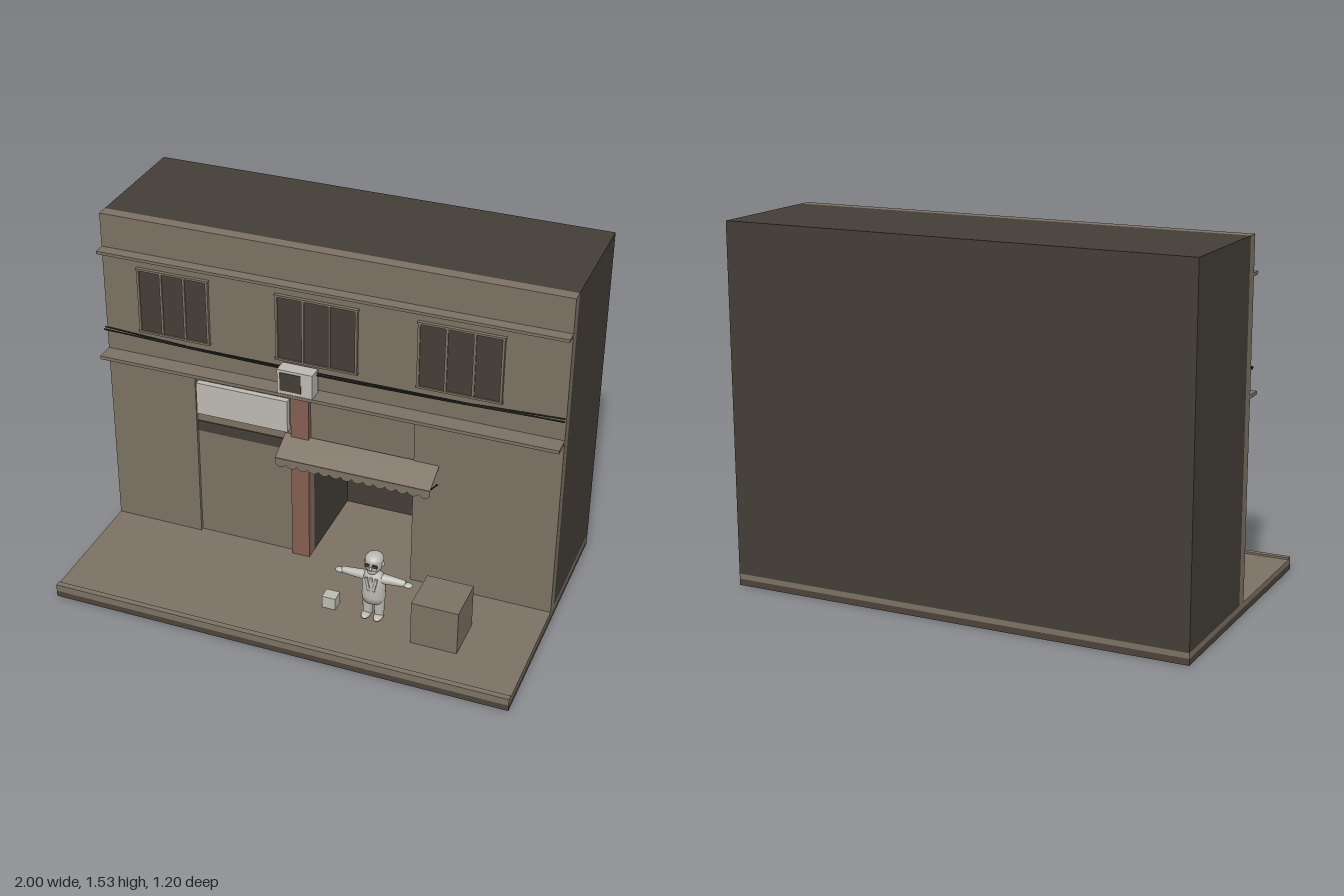
import * as THREE from 'three';

const mat = (name, color, side = THREE.FrontSide) => {
  const m = new THREE.MeshStandardMaterial({ color, side });
  m.name = name;
  return m;
};

export function createModel() {
  const root = new THREE.Group();
  root.name = 'shopfront';
  const plaster = mat('plaster', 0x7b7163, THREE.DoubleSide);
  const dark = mat('darkWall', 0x433d36);
  const base = mat('baseBrown', 0x4c423a);
  const brick = mat('brickRed', 0x835e50);
  const pale = mat('paleGrey', 0xbab8b0);
  const black = mat('cableBlack', 0x24221f);

  const add = (name, geo, material, parent = root) => {
    const m = new THREE.Mesh(geo, material);
    m.name = name;
    parent.add(m);
    return m;
  };
  // Box given by its minimum and maximum on each axis
  const box = (name, material, x0, x1, y0, y1, z0, z1, parent = root) => {
    const m = add(name, new THREE.BoxGeometry(x1 - x0, y1 - y0, z1 - z0), material, parent);
    m.position.set((x0 + x1) / 2, (y0 + y1) / 2, (z0 + z1) / 2);
    return m;
  };
  // Full-width wall with an opening that reaches the ground
  const wall = (name, material, l, r, top, z0, z1) => {
    const s = new THREE.Shape([
      [-1, 0.05], [l, 0.05], [l, top], [r, top], [r, 0.05], [1, 0.05], [1, 1.53], [-1, 1.53],
    ].map(p => new THREE.Vector2(...p)));
    const g = new THREE.ExtrudeGeometry(s, { depth: z1 - z0, bevelEnabled: false });
    add(name, g.translate(0, 0, z0), material);
  };
  const tube = (name, pts, r, material, parent = root) => add(name, new THREE.TubeGeometry(
    new THREE.CatmullRomCurve3(pts.map(p => new THREE.Vector3(...p))), 24, r, 6), material, parent);

  // Pavement and kerb
  box('foundation', base, -1, 1, 0, 0.027, -0.6, 0.6);
  box('pavement', plaster, -1, 1, 0.027, 0.05, -0.6, 0.6);
  box('kerb', plaster, -1, 1, 0.05, 0.058, 0.575, 0.6);

  // Building volume with a hollow doorway, then the facade in two layers
  box('rearBlock', dark, -1, 1, 0.05, 1.53, -0.6, -0.45);
  wall('buildingBody', dark, -0.08, 0.38, 0.52, -0.45, -0.05);
  wall('facadeBack', plaster, -0.08, 0.38, 0.52, -0.05, -0.015);
  wall('facadeFront', plaster, -0.6, 0.38, 0.89, -0.015, 0);
  box('lowerLedge', plaster, -1, 1, 0.885, 0.9, -0.04, 0.08);
  box('upperLedge', plaster, -1, 1, 1.367, 1.38, 0, 0.05);

  // Pillar, sign and transom of the left bay
  box('pillar', brick, -0.16, -0.08, 0.05, 0.885, -0.015, 0.01);
  box('signBoard', pale, -0.59, -0.175, 0.67, 0.82, -0.015, 0.012);
  box('transom', dark, -0.6, -0.16, 0.57, 0.62, -0.015, -0.01);

  // Upper windows: three panes in a frame
  [-0.68, -0.045, 0.5625].forEach((cx, i) => {
    const g = new THREE.Group();
    g.name = 'window';
    root.add(g);
    const w = i === 0 ? 0.31 : 0.345, p = w / 3;
    box('glass', dark, cx - w / 2, cx + w / 2, 1.02, 1.305, 0, 0.009, g);
    for (let k = 0; k <= 3; k++) {
      const x = cx - w / 2 + k * p;
      box('mullion', plaster, x - 0.005, x + 0.005, 1.02, 1.305, 0, 0.014, g);
    }
    for (const y of [1.015, 1.305])
      box('rail', plaster, cx - w / 2 - 0.008, cx + w / 2 + 0.008, y, y + 0.009, 0, 0.016, g);
  });

  // Air conditioner
  box('airConditioner', pale, -0.19, -0.035, 0.9, 1.01, 0.015, 0.078);
  box('airConditionerGrille', dark, -0.178, -0.085, 0.915, 0.998, 0.077, 0.081);

  // Sagging cables
  [[1.01, 0.982, 0.018], [1.0, 0.996, 0.025], [1.005, 0.988, 0.03]].forEach(([y, mid, z]) =>
    tube('cable', [[-1, y, z], [-0.5, (y + 3 * mid) / 4, z], [0, mid, z],
      [0.5, (y + 3 * mid) / 4, z], [1, y, z]], 0.003, black));

  // Awning: sloping sheet, scalloped valance and struts
  const awning = new THREE.Group();
  awning.name = 'awning';
  root.add(awning);
  const slope = add('awningSheet', new THREE.BoxGeometry(0.68, 0.004, Math.hypot(0.115, 0.055)), plaster, awning);
  slope.position.set(0.15, 0.629, 0.053);
  slope.rotation.x = Math.atan2(0.055, 0.115);
  const val = new THREE.Shape();
  const n = 14, step = 0.68 / n;
  val.moveTo(0.49, 0.6);
  val.lineTo(-0.19, 0.6);
  val.lineTo(-0.19, 0.575);
  for (let i = 0; i < n; i++)
    val.quadraticCurveTo(-0.19 + (i + 0.5) * step, 0.545, -0.19 + (i + 1) * step, 0.575);
  add('awningValance', new THREE.ExtrudeGeometry(val, { depth: 0.003, bevelEnabled: false, curveSegments: 8 })
    .translate(0, 0, 0.108), plaster, awning);
  for (const x of [-0.185, 0.485])
    tube('awningStrut', [[x, 0.563, 0], [x, 0.602, 0.108]], 0.003, black, awning);

  // Boxes on the pavement
  box('crate', plaster, 0.52, 0.72, 0.05, 0.25, 0.2, 0.4);
  box('smallBox', pale, 0.1, 0.16, 0.05, 0.105, 0.26, 0.315);

  // Standing figure with outstretched arms
  const fig = new THREE.Group();
  fig.name = 'figure';
  fig.position.set(0.32, 0.05, 0.288);
  root.add(fig);
  const ball = (name, x, y, z, sx, sy, sz, m = pale) => {
    const b = add(name, new THREE.SphereGeometry(1, 20, 14), m, fig);
    b.position.set(x, y, z);
    b.scale.set(sx, sy, sz);
    return b;
  };
  const torso = add('torso', new THREE.LatheGeometry([
    [0, 0.08], [0.046, 0.08], [0.052, 0.11], [0.05, 0.15], [0.052, 0.195], [0.04, 0.222], [0.02, 0.235], [0.017, 0.25],
  ].map(p => new THREE.Vector2(...p)), 24), pale, fig);
  torso.scale.z = 0.68;
  for (const s of [-1, 1]) {
    const leg = add('leg', new THREE.CylinderGeometry(0.024, 0.02, 0.09, 14), pale, fig);
    leg.position.set(s * 0.025, 0.055, 0);
    ball('shoe', s * 0.027, 0.012, 0.012, 0.02, 0.013, 0.036);
    const arm = add('arm', new THREE.CylinderGeometry(0.022, 0.014, 0.1, 14), pale, fig);
    arm.rotation.z = s * Math.PI / 2;
    arm.position.set(s * 0.088, 0.2, 0);
    ball('hand', s * 0.148, 0.198, 0.003, 0.021, 0.01, 0.015);
    ball('ear', s * 0.038, 0.274, 0, 0.006, 0.011, 0.008);
    box('lens', dark, s * 0.016 - 0.011, s * 0.016 + 0.011, 0.274, 0.287, 0.037, 0.044, fig);
    const lapel = box('lapel', pale, -0.006, 0.006, 0.15, 0.215, 0.032, 0.039, fig);
    lapel.position.x = s * 0.016;
    lapel.rotation.z = -s * 0.2;
  }
  ball('head', 0, 0.272, 0.006, 0.036, 0.042, 0.037);
  ball('hair', 0, 0.291, -0.002, 0.039, 0.028, 0.042);
  ball('nose', 0, 0.268, 0.045, 0.006, 0.008, 0.008);
  ball('chin', 0, 0.244, 0.022, 0.022, 0.013, 0.018);
  box('tie', pale, -0.005, 0.005, 0.13, 0.215, 0.03, 0.038, fig);
  return root;
}
